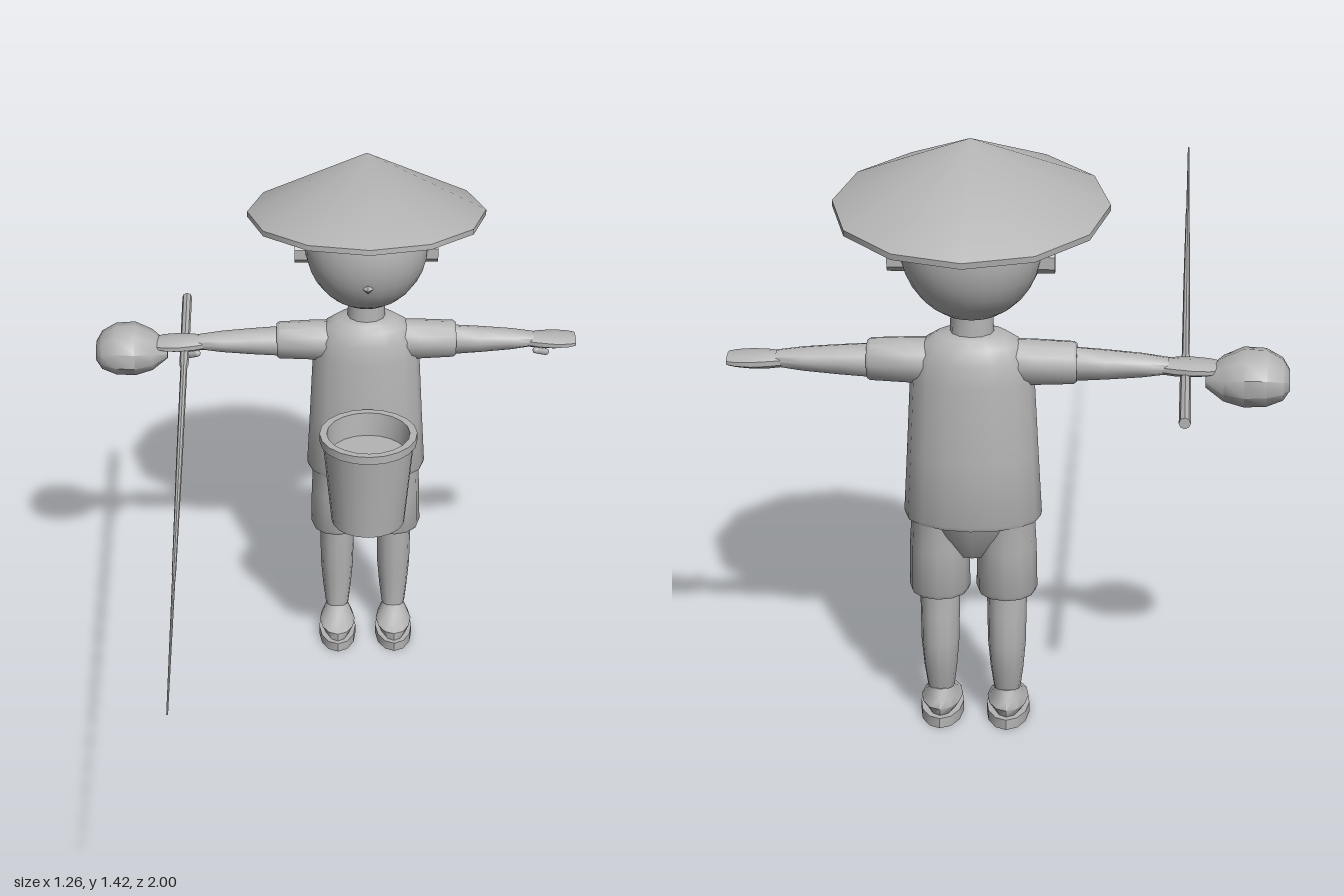
import * as THREE from 'three';
import { toCreasedNormals } from 'three/addons/utils/BufferGeometryUtils.js';

const gray = new THREE.MeshStandardMaterial({ color: 0xb4b4b4 });
gray.name = 'plain gray';

// Closed skin over elliptical rings [y, rx, rz, cx, cz], capped at both ends.
function loft(rings, seg = 12) {
  const pos = [], idx = [];
  for (const [y, rx, rz = rx, cx = 0, cz = 0] of rings) {
    for (let j = 0; j < seg; j++) {
      const a = (j / seg) * Math.PI * 2;
      pos.push(cx + rx * Math.cos(a), y, cz + rz * Math.sin(a));
    }
  }
  for (let i = 0; i < rings.length - 1; i++) {
    for (let j = 0; j < seg; j++) {
      const k = (j + 1) % seg, a = i * seg, b = a + seg;
      idx.push(a + j, b + j, a + k, b + j, b + k, a + k);
    }
  }
  const n = rings.length * seg, top = n - seg;
  for (const [y, , , cx = 0, cz = 0] of [rings[0], rings[rings.length - 1]]) pos.push(cx, y, cz);
  for (let j = 0; j < seg; j++) {
    const k = (j + 1) % seg;
    idx.push(n, j, k, n + 1, top + k, top + j);
  }
  const g = new THREE.BufferGeometry();
  g.setAttribute('position', new THREE.Float32BufferAttribute(pos, 3));
  g.setIndex(idx);
  return toCreasedNormals(g, 0.75);
}

function add(parent, name, geometry, x = 0, y = 0, z = 0) {
  const m = new THREE.Mesh(geometry, gray);
  m.name = name;
  m.position.set(x, y, z);
  parent.add(m);
  return m;
}

export function createModel() {
  const model = new THREE.Group();
  model.name = 'fisherFigure';
  const figure = new THREE.Group();
  figure.name = 'figure';
  figure.position.set(0.077, 0, -0.692);
  model.add(figure);

  // Head, ears and nose
  const head = add(figure, 'head', new THREE.SphereGeometry(1, 24, 16), 0, 1.18, 0);
  head.scale.set(0.161, 0.18, 0.153);
  add(figure, 'nose', new THREE.OctahedronGeometry(0.014), 0, 1.113, 0.142);
  for (const s of [-1, 1]) {
    const ear = loft([[0.13, 0.028, 0.016], [0.186, 0.028, 0.016]], 6).rotateZ(-s * Math.PI / 2);
    add(figure, s > 0 ? 'leftEar' : 'rightEar', ear, 0, 1.14, -0.018);
  }
  add(figure, 'neck', loft([[0.95, 0.05, 0.045], [1.03, 0.047, 0.043]]));

  // Conical hat, tipped slightly back
  const hat = add(figure, 'hat', loft([
    [0.135, 0.004], [-0.006, 0.3], [-0.008, 0.307], [0.006, 0.307], [0.159, 0.002],
  ]), 0, 1.262, 0.001);
  hat.rotation.x = -0.114;

  // Shirt
  add(figure, 'shirt', loft([
    [0.52, 0.154, 0.1], [0.53, 0.157, 0.104], [0.68, 0.149, 0.1], [0.86, 0.14, 0.09],
    [0.91, 0.132, 0.083], [0.945, 0.11, 0.07], [0.963, 0.08, 0.058], [0.969, 0.045, 0.04],
  ], 16));

  // Seat of the shorts
  add(figure, 'seat', loft([
    [0.43, 0.052, 0.045], [0.48, 0.1, 0.078], [0.53, 0.14, 0.096],
  ]));

  for (const s of [-1, 1]) {
    const side = s > 0 ? 'left' : 'right';

    // Leg, shorts leg, foot and sandal
    const leg = new THREE.Group();
    leg.name = side + 'Leg';
    leg.position.x = s * 0.077;
    figure.add(leg);
    add(leg, 'shortsLeg', loft([
      [0.335, 0.066, 0.068], [0.345, 0.07, 0.073], [0.45, 0.068, 0.076], [0.54, 0.063, 0.082],
    ]));
    add(leg, 'shin', loft([
      [0.085, 0.031, 0.032, 0, 0.004], [0.14, 0.038, 0.041, 0, -0.004],
      [0.21, 0.044, 0.049, 0, -0.007], [0.28, 0.045, 0.046, 0, -0.002], [0.36, 0.047, 0.046],
    ]));
    add(leg, 'foot', loft([
      [0.024, 0.034, 0.08, 0, 0.038], [0.045, 0.048, 0.083, 0, 0.032],
      [0.066, 0.036, 0.052, 0, 0.01], [0.088, 0.024, 0.034, 0, 0.002],
    ]));
    add(leg, 'sandal', loft([
      [0, 0.05, 0.095, 0, 0.037], [0.025, 0.05, 0.095, 0, 0.037],
    ]));

    // Arm, held straight out
    const arm = new THREE.Group();
    arm.name = side + 'Arm';
    arm.position.y = 0.896;
    figure.add(arm);
    const out = (rings, seg) => loft(rings, seg).rotateZ(-s * Math.PI / 2);
    add(arm, 'sleeve', out([
      [0.08, 0.054, 0.05], [0.14, 0.053, 0.05], [0.228, 0.049, 0.047], [0.235, 0.044, 0.042],
    ]));
    add(arm, 'forearm', out([
      [0.22, 0.04, 0.036], [0.3, 0.034, 0.035], [0.38, 0.027, 0.031],
      [0.44, 0.018, 0.026],
    ]), 0, -0.003);
    add(arm, 'hand', out([
      [0.425, 0.017, 0.026], [0.455, 0.019, 0.036], [0.495, 0.018, 0.044],
      [0.53, 0.015, 0.042], [0.55, 0.012, 0.034],
    ], 10), 0, -0.005);
    const thumb = add(arm, 'thumb', new THREE.CapsuleGeometry(0.009, 0.035, 3, 8), s * 0.457, -0.018, 0.042);
    thumb.rotation.set(0.9, 0, s * 0.9);
  }

  // Rounded lump at the end of the right hand
  const lump = loft([
    [-0.087, 0.022, 0.04, 0.005], [-0.072, 0.046, 0.064, 0.003], [-0.035, 0.064, 0.081],
    [0.015, 0.066, 0.085], [0.06, 0.05, 0.066, 0.004], [0.1, 0.018, 0.03, 0.006],
  ], 10).rotateZ(-Math.PI / 2);
  add(model, 'lump', lump, -0.545, 0.872, -0.698);

  // Fishing rod, tapering forward
  const rod = loft([
    [-0.985, 0.013], [-0.6, 0.012], [-0.58, 0.009], [-0.1, 0.008], [0.43, 0.005], [0.45, 0.004], [1, 0.002],
  ], 8).rotateX(Math.PI / 2);
  add(model, 'fishingRod', rod, -0.4, 0.875, 0);

  // Bucket with a flanged rim, filled part way
  add(model, 'bucket', loft([
    [0.485, 0.096], [0.722, 0.119], [0.722, 0.127], [0.744, 0.127], [0.744, 0.108], [0.68, 0.102],
  ], 20), 0.077, 0, -0.458);

  return model;
}
